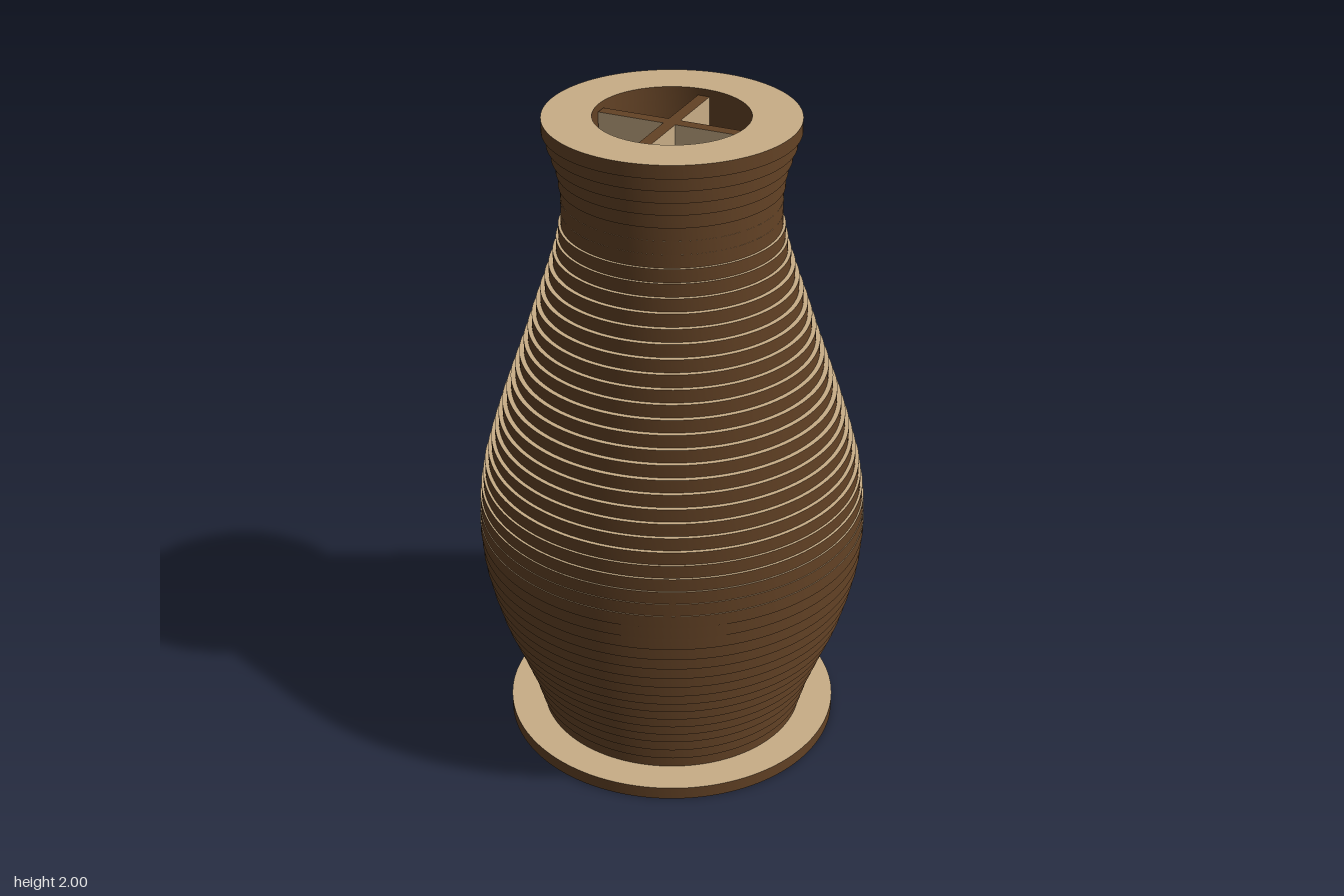
import * as THREE from 'three';
import { toCreasedNormals } from 'three/addons/utils/BufferGeometryUtils.js';

const face = new THREE.MeshStandardMaterial({ color: 0xc8ad86 });
face.name = 'plywood face';
const edge = new THREE.MeshStandardMaterial({ color: 0x634225 });
edge.name = 'burnt cut edge';

const T = 0.04; // sheet thickness
const LAYERS = 50;
const BORE = 0.223;
const TAB = [0.078, 0.152]; // tab span from the axis

// Cut a flat sheet: light faces, dark cut edges
function sheet(name, shape, thickness) {
  const geo = new THREE.ExtrudeGeometry(shape, { depth: thickness, bevelEnabled: false, curveSegments: 72 });
  const mesh = new THREE.Mesh(toCreasedNormals(geo, 0.5), [face, edge]);
  mesh.name = name;
  return mesh;
}

function disc(radius) {
  const s = new THREE.Shape();
  s.absarc(0, 0, radius, 0, Math.PI * 2, false);
  return s;
}

function rect(x0, y0, x1, y1) {
  return new THREE.Path([[x0, y0], [x1, y0], [x1, y1], [x0, y1]].map(p => new THREE.Vector2(...p)));
}

// Upright panel with two bottom tabs and a half-height slot for the cross joint
function panelShape(slotAtTop) {
  const w = 0.22, top = 1.98, mid = 1.0, h = 0.018, [a, b] = TAB, foot = 0.008;
  const right = [];
  if (!slotAtTop) right.push([h, mid], [h, T]);
  else right.push([0, T]);
  right.push([a, T], [a, foot], [b, foot], [b, T], [w, T], [w, top]);
  if (slotAtTop) right.push([h, top], [h, mid]);
  else right.push([0, top]);
  const left = right.filter(p => p[0] > 0).reverse().map(([x, y]) => [-x, y]);
  return new THREE.Shape([...right, ...left].map(p => new THREE.Vector2(...p)));
}

export function createModel() {
  const model = new THREE.Group();
  model.name = 'layeredVase';

  // Base plate with four tab slots
  const base = disc(0.515);
  const [a, b] = TAB, h = 0.018;
  base.holes.push(rect(a, -h, b, h), rect(-b, -h, -a, h), rect(-h, a, h, b), rect(-h, -b, h, -a));
  const plate = sheet('basePlate', base, T);
  plate.rotation.x = -Math.PI / 2;
  model.add(plate);

  // Vase profile as (radius, height), sampled once per layer
  const profile = [
    [0.41, 0.06], [0.445, 0.18], [0.49, 0.3], [0.53, 0.4], [0.558, 0.5], [0.58, 0.6],
    [0.588, 0.7], [0.583, 0.8], [0.565, 0.9], [0.537, 1.0], [0.505, 1.1], [0.47, 1.2],
    [0.435, 1.3], [0.402, 1.4], [0.368, 1.5], [0.336, 1.6], [0.317, 1.7], [0.316, 1.78],
    [0.327, 1.86], [0.345, 1.92], [0.365, 1.98],
  ];
  const radiusAt = y => {
    let i = 0;
    while (i < profile.length - 2 && profile[i + 1][1] < y) i++;
    const [r0, y0] = profile[i], [r1, y1] = profile[i + 1];
    return r0 + (r1 - r0) * (y - y0) / (y1 - y0);
  };

  // Stacked rings
  const body = new THREE.Group();
  body.name = 'bodyRings';
  for (let i = 1; i < LAYERS; i++) {
    const s = disc(radiusAt((i + 0.5) * T));
    s.holes.push(new THREE.Path().absarc(0, 0, BORE, 0, Math.PI * 2, true));
    const ring = sheet('ring' + i, s, T);
    ring.rotation.x = -Math.PI / 2;
    ring.position.y = i * T;
    body.add(ring);
  }
  model.add(body);

  // Interlocking cross divider inside the bore
  const across = sheet('dividerAcross', panelShape(true), 2 * h);
  across.position.z = -h;
  const along = sheet('dividerAlong', panelShape(false), 2 * h);
  along.rotation.y = Math.PI / 2;
  along.position.x = -h;
  model.add(across, along);

  return model;
}
